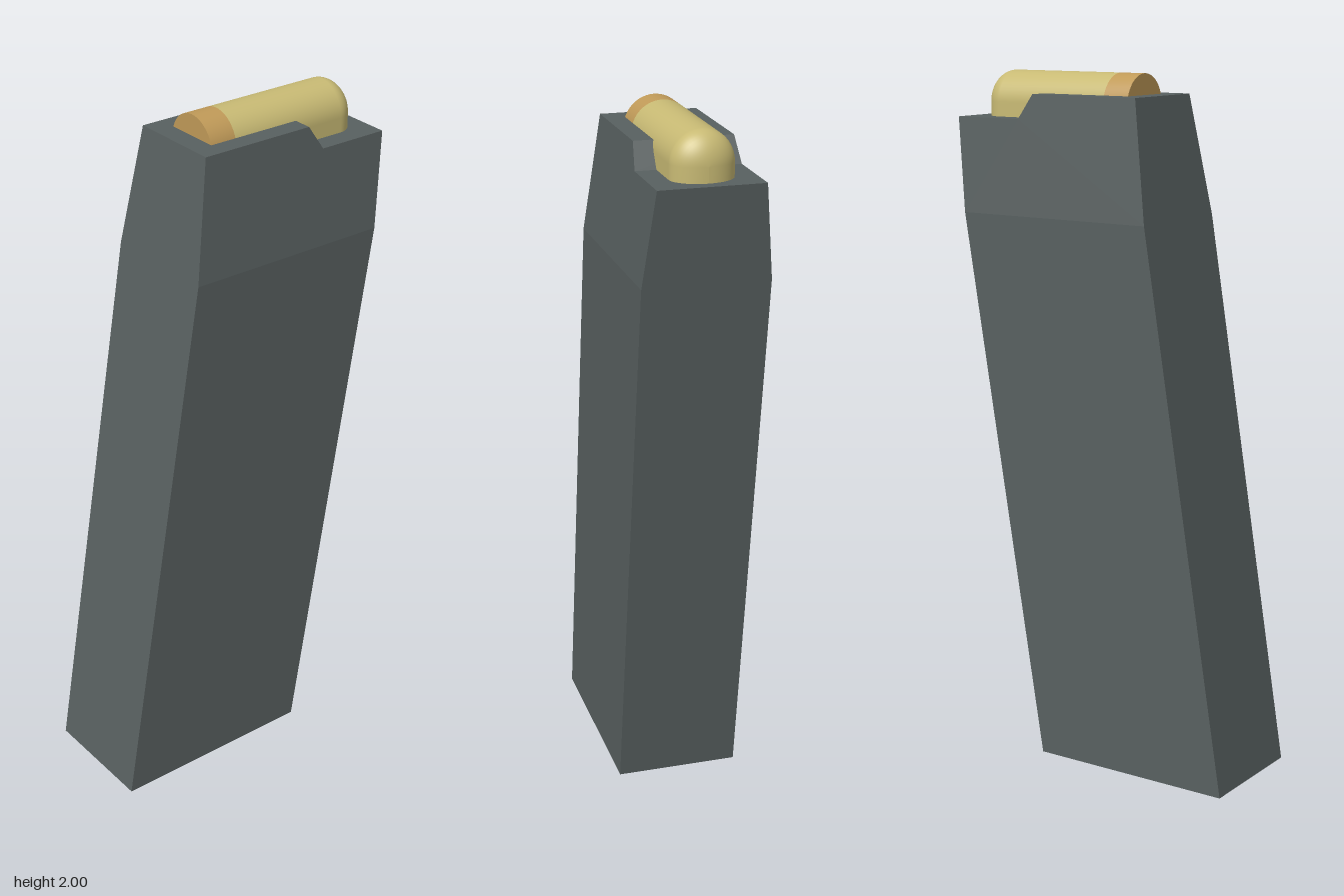
import * as THREE from 'three';

const steel = new THREE.MeshStandardMaterial({ name: 'grey steel', color: 0x586060 });
const brass = new THREE.MeshStandardMaterial({ name: 'yellow brass', color: 0xc8ba74 });
const copper = new THREE.MeshStandardMaterial({ name: 'orange copper', color: 0xc09a58 });

function makeMesh(name, positions, index, material) {
  let geometry = new THREE.BufferGeometry();
  geometry.setAttribute('position', new THREE.Float32BufferAttribute(positions, 3));
  geometry.setIndex(index);
  if (material === steel) geometry = geometry.toNonIndexed(); // crisp flat faces
  geometry.computeVertexNormals();
  const mesh = new THREE.Mesh(geometry, material);
  mesh.name = name;
  return mesh;
}

// Slanted case: one side outline, pinched in depth towards the top
function makeBody() {
  const outline = [
    [-0.46, 0], [0.155, 0], [0.416, 1.6], [0.457, 1.87],
    [0.245, 1.87], [0.2, 1.94], [-0.145, 1.94], [-0.2, 1.6],
  ];
  const sideFaces = [[0, 1, 2], [0, 2, 7], [2, 3, 4], [7, 2, 4], [7, 4, 5], [7, 5, 6]];
  const n = outline.length;
  const positions = [], index = [];
  for (const side of [1, -1]) {
    for (const [x, y] of outline) {
      const depth = 0.178 - Math.max(0, y - 1.6) * 0.114;
      positions.push(x, y, side * depth);
    }
  }
  for (const [a, b, c] of sideFaces) index.push(a, b, c, n + a, n + c, n + b);
  for (let i = 0; i < n; i++) {
    const j = (i + 1) % n;
    index.push(i, n + i, n + j, i, n + j, j);
  }
  return makeMesh('magazineBody', positions, index, steel);
}

const RADIUS = 0.088, AXIS_Y = 1.912, BASE_Y = 1.86, ARC = 24;

// Arched cross-section: a half circle standing on straight walls
function archSection(x, r) {
  const points = [x, BASE_Y, -r];
  for (let k = 0; k <= ARC; k++) {
    const a = Math.PI * k / ARC;
    points.push(x, AXIS_Y + r * Math.sin(a), -r * Math.cos(a));
  }
  points.push(x, BASE_Y, r);
  return points;
}

// Skin through a row of [x, radius] stations
function makeArch(name, stations, material) {
  const row = ARC + 3;
  const positions = [], index = [];
  for (const [x, r] of stations) positions.push(...archSection(x, r));
  for (let i = 0; i < stations.length - 1; i++) {
    for (let j = 0; j < row - 1; j++) {
      const a = i * row + j, b = a + row;
      index.push(a, a + 1, b, b, a + 1, b + 1);
    }
  }
  return makeMesh(name, positions, index, material);
}

export function createModel() {
  const model = new THREE.Group();
  model.name = 'magazine';
  model.add(makeBody());

  const round = new THREE.Group();
  round.name = 'topRound';

  // Straight barrel ending in a rounded nose
  const stations = [[-0.005, RADIUS]];
  for (let k = 0; k <= 12; k++) {
    const a = Math.PI / 2 * k / 12;
    stations.push([0.357 + 0.066 * Math.sin(a), RADIUS * Math.cos(a)]);
  }
  round.add(makeArch('roundBarrel', stations, brass));
  round.add(makeArch('roundRim', [[-0.085, RADIUS], [-0.005, RADIUS]], copper));

  // Flat end behind the rim
  const end = archSection(-0.085, RADIUS);
  const fan = [];
  for (let j = 1; j < ARC + 2; j++) fan.push(0, j + 1, j);
  const cap = makeMesh('roundEnd', end, fan, copper);
  cap.material.side = THREE.DoubleSide;
  round.add(cap);

  model.add(round);
  return model;
}
